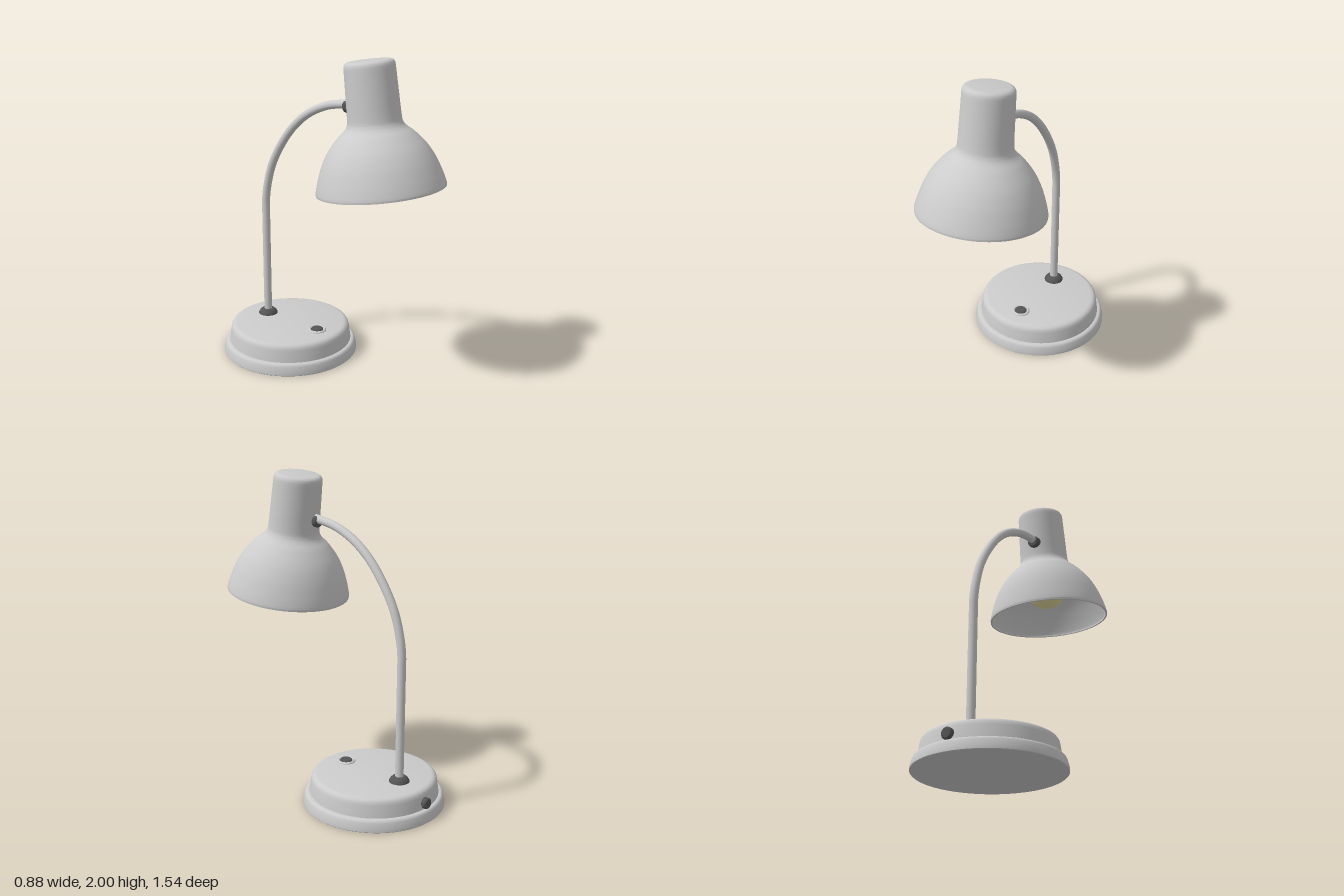
import * as THREE from 'three';
import { toCreasedNormals } from 'three/addons/utils/BufferGeometryUtils.js';

const grey = new THREE.MeshStandardMaterial({ color: 0xcccccc });
const dark = new THREE.MeshStandardMaterial({ color: 0x555555 });
const warm = new THREE.MeshStandardMaterial({ color: 0xe6dca0 });

const points = (list) => list.map(([r, y]) => new THREE.Vector2(r, y));

// Turned part from [radius, height] pairs, running from the axis below to the axis above
function turned(name, profile, material, segments = 64) {
  const geometry = toCreasedNormals(new THREE.LatheGeometry(points(profile), segments), 0.6);
  const mesh = new THREE.Mesh(geometry, material);
  mesh.name = name;
  return mesh;
}

function createBase() {
  const base = new THREE.Group();
  base.name = 'base';
  base.position.z = -0.327;

  base.add(turned('lowerBase', [
    [0, 0], [0.436, 0], [0.44, 0.004], [0.44, 0.02], [0.43, 0.058],
    [0.426, 0.068], [0.418, 0.074], [0.408, 0.076], [0, 0.076],
  ], grey, 96));
  base.add(turned('upperBase', [
    [0, 0.07], [0.402, 0.07], [0.4, 0.085], [0.391, 0.15], [0.387, 0.168],
    [0.379, 0.18], [0.367, 0.187], [0.352, 0.19], [0, 0.19],
  ], grey, 96));

  // Dark foot that holds the stem
  const collar = turned('stemCollar', [
    [0, 0.185], [0.064, 0.185], [0.063, 0.194], [0.055, 0.208],
    [0.044, 0.219], [0.034, 0.224], [0, 0.224],
  ], dark, 40);
  collar.position.set(-0.003, 0, -0.198);
  base.add(collar);

  // Push button in a raised ring
  const ring = turned('buttonRing', [
    [0.038, 0.185], [0.06, 0.185], [0.059, 0.194], [0.053, 0.2],
    [0.046, 0.2], [0.041, 0.196], [0.038, 0.185],
  ], grey, 40);
  const button = turned('button', [
    [0, 0.185], [0.039, 0.185], [0.039, 0.198], [0.034, 0.204], [0, 0.206],
  ], dark, 32);
  for (const part of [ring, button]) {
    part.position.set(-0.003, 0, 0.237);
    base.add(part);
  }

  // Cable outlet at the back
  const outlet = turned('cableOutlet', [
    [0, 0], [0.034, 0], [0.034, 0.05], [0.028, 0.057], [0, 0.057],
  ], dark, 24);
  outlet.rotation.x = -Math.PI / 2;
  outlet.position.set(-0.003, 0.112, -0.366);
  base.add(outlet);
  return base;
}

function createStem() {
  // Straight upright, then a bow forward to the shade
  const path = new THREE.CurvePath();
  const bow = [
    [0.93, -0.525], [1.08, -0.511], [1.24, -0.463], [1.4, -0.371],
    [1.53, -0.262], [1.62, -0.145], [1.685, 0], [1.717, 0.17],
  ].map(([y, z]) => new THREE.Vector3(-0.003, y, z));
  path.add(new THREE.LineCurve3(new THREE.Vector3(-0.003, 0.2, -0.525), bow[0]));
  // A lead-in point keeps the bow tangent to the upright
  bow.splice(1, 0, new THREE.Vector3(-0.003, 0.98, -0.5245));
  path.add(new THREE.CatmullRomCurve3(bow));
  const stem = new THREE.Mesh(new THREE.TubeGeometry(path, 120, 0.026, 20), grey);
  stem.name = 'stem';
  return stem;
}

function createHead() {
  const head = new THREE.Group();
  head.name = 'head';
  head.position.set(0.023, 1.232, 0.387);
  head.rotation.x = -0.136;

  // Bell shade with neck, measured upward from the rim
  const outer = new THREE.SplineCurve(points([
    [0.386, 0], [0.385, 0.02], [0.367, 0.085], [0.335, 0.17], [0.29, 0.25], [0.23, 0.321],
    [0.185, 0.361], [0.166, 0.388], [0.159, 0.425], [0.155, 0.55], [0.15, 0.72],
  ])).getPoints(60).map((p) => [p.x, p.y]);
  const inner = outer.map(([r, y]) => [r - 0.01, y]).reverse();
  head.add(turned('shade', [
    [0, 0.72], ...inner, ...outer,
    [0.148, 0.735], [0.142, 0.746], [0.13, 0.753], [0.115, 0.755], [0, 0.755],
  ], grey, 80));

  // Bulb and its socket inside the shade
  const bulb = [[0, 0.08]];
  for (let i = 1; i <= 20; i++) {
    const a = (i / 20) * 2.4;
    bulb.push([0.13 * Math.sin(a), 0.21 - 0.13 * Math.cos(a)]);
  }
  bulb.push([0.07, 0.345], [0.06, 0.4], [0, 0.4]);
  head.add(turned('bulb', bulb, warm, 40));
  head.add(turned('socket', [[0, 0.39], [0.075, 0.39], [0.075, 0.7], [0, 0.7]], grey, 32));

  // Dark joint between the neck and the stem
  const joint = turned('joint', [
    [0, 0], [0.038, 0], [0.038, 0.035], [0.033, 0.042], [0, 0.042],
  ], dark, 24);
  joint.rotation.x = -Math.PI / 2;
  joint.position.set(-0.026, 0.495, -0.143);
  head.add(joint);
  return head;
}

export function createModel() {
  const lamp = new THREE.Group();
  lamp.name = 'deskLamp';
  lamp.add(createBase(), createStem(), createHead());
  return lamp;
}
